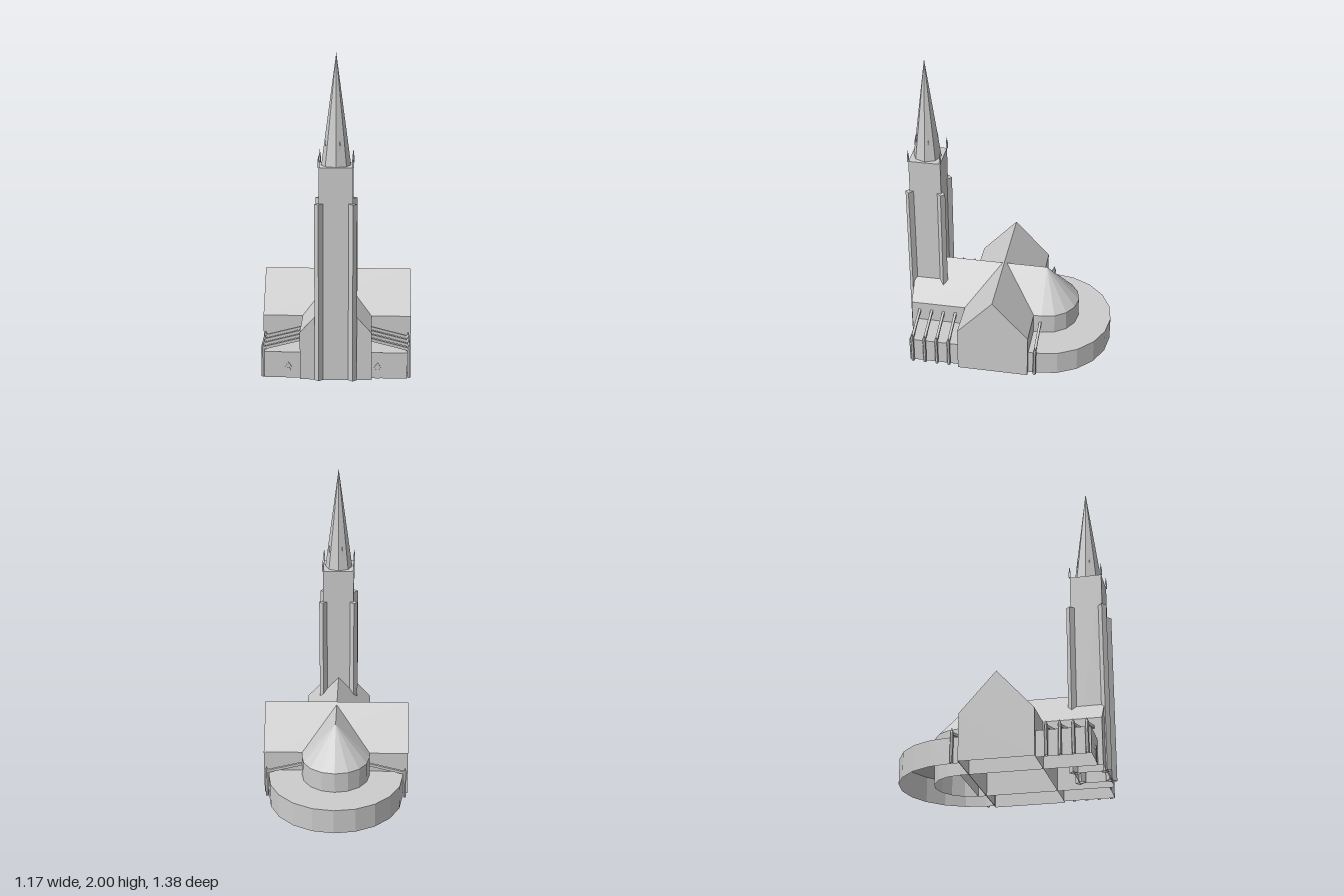
import * as THREE from 'three';

const stone = new THREE.MeshStandardMaterial({ color: 0xcccccc, side: THREE.DoubleSide, flatShading: true });
stone.name = 'stone';

// Removes the faces that lie on the ground, so the volumes are open below
function openBottom(geometry) {
  const g = geometry.index ? geometry.toNonIndexed() : geometry;
  const p = g.attributes.position;
  const kept = [];
  for (let i = 0; i < p.count; i += 3) {
    if (Math.max(p.getY(i), p.getY(i + 1), p.getY(i + 2)) < 1e-4) continue;
    for (let k = i; k < i + 3; k++) kept.push(p.getX(k), p.getY(k), p.getZ(k));
  }
  const out = new THREE.BufferGeometry();
  out.setAttribute('position', new THREE.Float32BufferAttribute(kept, 3));
  out.computeVertexNormals();
  return out;
}

function add(parent, name, geometry, x = 0, y = 0, z = 0) {
  const mesh = new THREE.Mesh(geometry, stone);
  mesh.name = name;
  mesh.position.set(x, y, z);
  parent.add(mesh);
  return mesh;
}

const polygon = (pts) => new THREE.Shape(pts.map(([x, y]) => new THREE.Vector2(x, y)));
const extrude = (shape, depth) => new THREE.ExtrudeGeometry(shape, { depth, bevelEnabled: false, curveSegments: 6 });

// Box standing on the ground, without underside
const block = (w, h, d) => openBottom(new THREE.BoxGeometry(w, h, d).translate(0, h / 2, 0));

// House-shaped prism running along z
const gabled = (half, eave, ridge, length) =>
  openBottom(extrude(polygon([[-half, 0], [half, 0], [half, eave], [0, ridge], [-half, eave]]), length));

const EAVE = 0.3, RIDGE = 0.54, LOW = 0.165, HALF = 0.22, APSE_Z = -0.283;

function addFlyingButtress(parent, side, z) {
  const g = new THREE.Group();
  g.name = 'flyingButtress';
  add(g, 'pier', openBottom(new THREE.CylinderGeometry(0.011, 0.011, 0.19, 6).translate(0, 0.095, 0)), side * 0.452, 0, z);
  add(g, 'pierCap', new THREE.ConeGeometry(0.012, 0.03, 6), side * 0.452, 0.205, z);
  const run = 0.235, rise = 0.06;
  const strut = add(g, 'strut', new THREE.BoxGeometry(Math.hypot(run, rise), 0.018, 0.016), side * 0.333, 0.212, z);
  strut.rotation.z = -side * Math.atan2(rise, run);
  parent.add(g);
}

function addTower(parent) {
  const tower = new THREE.Group();
  tower.name = 'tower';
  tower.position.set(0, 0, 0.497);
  parent.add(tower);
  const half = 0.1025, top = 1.325;
  add(tower, 'towerShaft', block(half * 2, top, half * 2));
  add(tower, 'spire', new THREE.ConeGeometry(0.09, 2 - top, 8), 0, (top + 2) / 2, 0);
  for (const sx of [-1, 1]) for (const sz of [-1, 1]) {
    // Diagonal corner buttress
    const r = half - 0.007;
    const buttress = add(tower, 'cornerButtress', block(0.036, 1.105, 0.06), sx * r, 0, sz * r);
    buttress.rotation.y = Math.atan2(sx, sz);
    // Corner pinnacle
    add(tower, 'pinnacleBase', new THREE.BoxGeometry(0.011, 0.04, 0.011), sx * half, top + 0.02, sz * half);
    add(tower, 'pinnacleTip', new THREE.ConeGeometry(0.006, 0.045, 4), sx * half, top + 0.06, sz * half);
  }
  // Small dormers on every other spire face
  for (let i = 0; i < 4; i++) {
    const a = Math.PI / 8 + i * Math.PI / 2;
    const x = Math.sin(a) * 0.066, z = Math.cos(a) * 0.066;
    const dormer = add(tower, 'spireDormer', new THREE.BoxGeometry(0.009, 0.05, 0.009), x, 1.43, z);
    dormer.rotation.y = a;
    add(tower, 'spireDormerTip', new THREE.ConeGeometry(0.006, 0.03, 4), x, 1.47, z);
  }
}

function addDoor(parent, x) {
  const door = new THREE.Group();
  door.name = 'aisleDoor';
  door.position.set(x, 0, 0.559);
  const arch = polygon([[-0.015, 0], [0.015, 0], [0.015, 0.045]]);
  arch.quadraticCurveTo(0.013, 0.062, 0, 0.07);
  arch.quadraticCurveTo(-0.013, 0.062, -0.015, 0.045);
  add(door, 'doorLeaf', extrude(arch, 0.006));
  add(door, 'doorGable', extrude(polygon([[-0.022, 0.07], [0.022, 0.07], [0, 0.1]]), 0.008));
  parent.add(door);
}

export function createModel() {
  const model = new THREE.Group();
  model.name = 'church';
  // The building stands turned about the vertical axis, crossing at the local origin
  const church = new THREE.Group();
  church.name = 'building';
  church.position.set(0.042, 0, 0.004);
  church.rotation.y = -0.366;
  model.add(church);

  // Nave with choir, and transept across it
  add(church, 'nave', gabled(HALF, EAVE, RIDGE, 0.592 - APSE_Z), 0, 0, APSE_Z);
  add(church, 'transept', gabled(0.231, EAVE, 0.555, 0.944).translate(0, 0, -0.472).rotateY(Math.PI / 2));

  // Rounded apse with half-cone roof
  add(church, 'apseWall',
    new THREE.CylinderGeometry(HALF, HALF, EAVE, 8, 1, true, Math.PI / 2, Math.PI), 0, EAVE / 2, APSE_Z);
  add(church, 'apseRoof',
    new THREE.ConeGeometry(HALF, RIDGE - EAVE, 8, 1, true, Math.PI / 2, Math.PI), 0, (EAVE + RIDGE) / 2, APSE_Z);

  // Low ambulatory around the apse
  const R = 0.438, outline = [[-R, 0.228], [R, 0.228]];
  for (let i = 0; i <= 10; i++) {
    const a = i * Math.PI / 10;
    outline.push([R * Math.cos(a), -APSE_Z + R * Math.sin(a)]);
  }
  add(church, 'ambulatory', openBottom(extrude(polygon(outline), LOW).rotateX(-Math.PI / 2)));

  // Side aisles with doors and flying buttresses
  for (const side of [-1, 1]) {
    add(church, 'sideAisle', block(0.222, LOW, 0.33), side * 0.33, 0, 0.395);
    for (const z of [-0.275, 0.296, 0.377, 0.457, 0.538]) addFlyingButtress(church, side, z);
  }
  addDoor(church, -0.292);
  addDoor(church, 0.258);

  addTower(church);
  return model;
}
